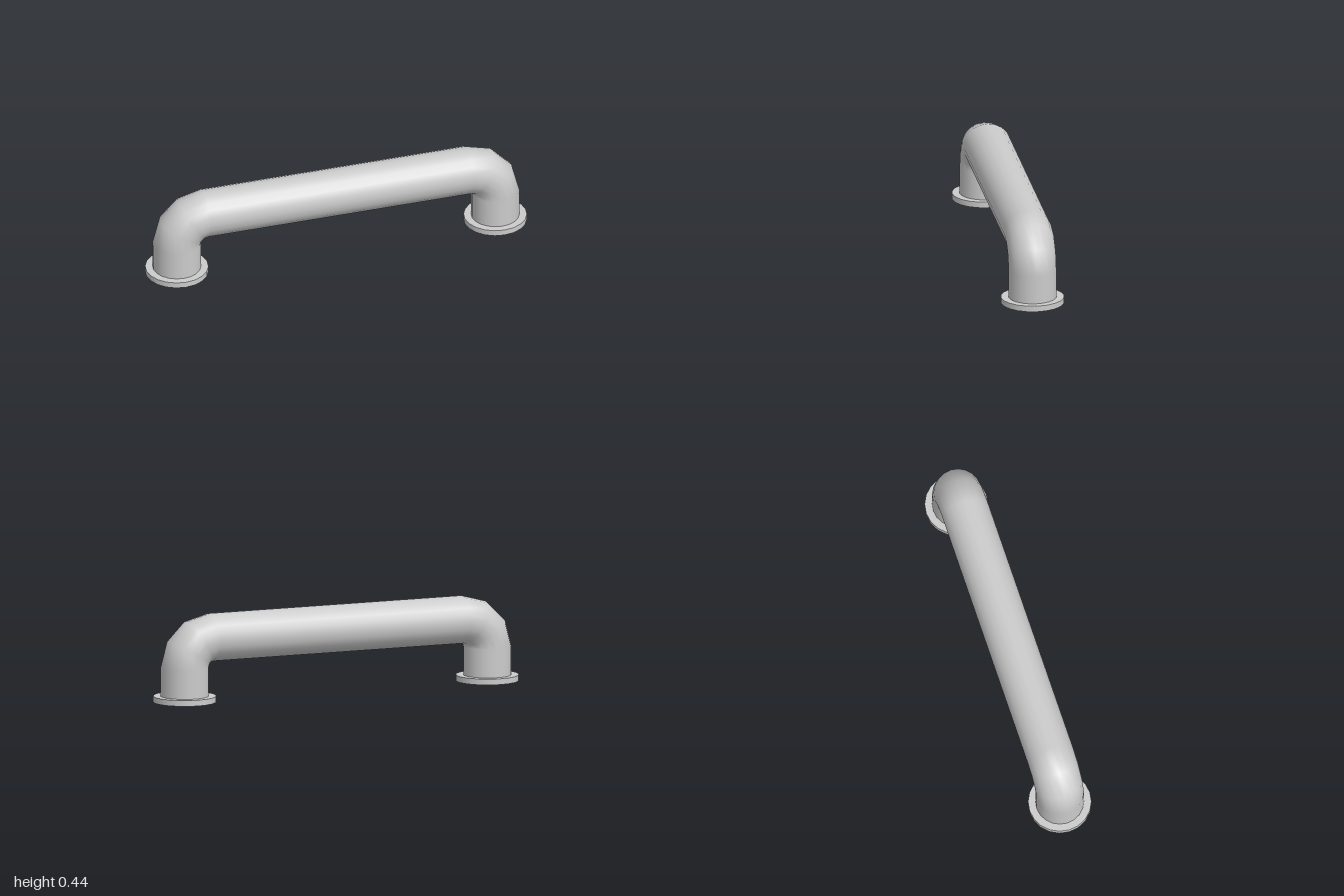
import * as THREE from 'three';

const SIDES = 20;
const TUBE_R = 0.122;
const BEND_R = 0.145;
const BEND_X = 0.695;
const BEND_Y = 0.175;
const FLANGE_R = 0.16;
const FLANGE_H = 0.03;

// Round bar swept up one leg, through two 30-degree-stepped elbows and down the other
function barGeometry() {
  const sections = [];
  const addSection = (side, degrees, y) => {
    const a = THREE.MathUtils.degToRad(degrees);
    const nx = -Math.cos(a), ny = Math.sin(a);
    sections.push({ x: side * BEND_X + BEND_R * nx, y: y ?? BEND_Y + BEND_R * ny, nx, ny });
  };
  addSection(-1, 0, FLANGE_H / 2);
  for (let d = 0; d <= 90; d += 30) addSection(-1, d);
  for (let d = 90; d <= 180; d += 30) addSection(1, d);
  addSection(1, 180, FLANGE_H / 2);

  const positions = [], normals = [], index = [];
  sections.forEach((s, i) => {
    for (let j = 0; j <= SIDES; j++) {
      const t = (j / SIDES) * Math.PI * 2;
      const n = [Math.cos(t) * s.nx, Math.cos(t) * s.ny, Math.sin(t)];
      normals.push(...n);
      positions.push(s.x + TUBE_R * n[0], s.y + TUBE_R * n[1], TUBE_R * n[2]);
      if (i < sections.length - 1 && j < SIDES) {
        const a = i * (SIDES + 1) + j, b = a + SIDES + 1;
        index.push(a, a + 1, b, a + 1, b + 1, b);
      }
    }
  });
  const geometry = new THREE.BufferGeometry();
  geometry.setAttribute('position', new THREE.Float32BufferAttribute(positions, 3));
  geometry.setAttribute('normal', new THREE.Float32BufferAttribute(normals, 3));
  geometry.setIndex(index);
  return geometry;
}

export function createModel() {
  const group = new THREE.Group();
  group.name = 'pullHandle';
  const material = new THREE.MeshStandardMaterial({ color: 0xcccccc });

  const bar = new THREE.Mesh(barGeometry(), material);
  bar.name = 'bentBar';
  group.add(bar);

  // Mounting flange under each leg
  const flangeGeometry = new THREE.CylinderGeometry(FLANGE_R, FLANGE_R, FLANGE_H, SIDES);
  for (const side of [-1, 1]) {
    const flange = new THREE.Mesh(flangeGeometry, material);
    flange.name = side > 0 ? 'leftFlange' : 'rightFlange';
    flange.position.set(side * (BEND_X + BEND_R), FLANGE_H / 2, 0);
    group.add(flange);
  }
  return group;
}
